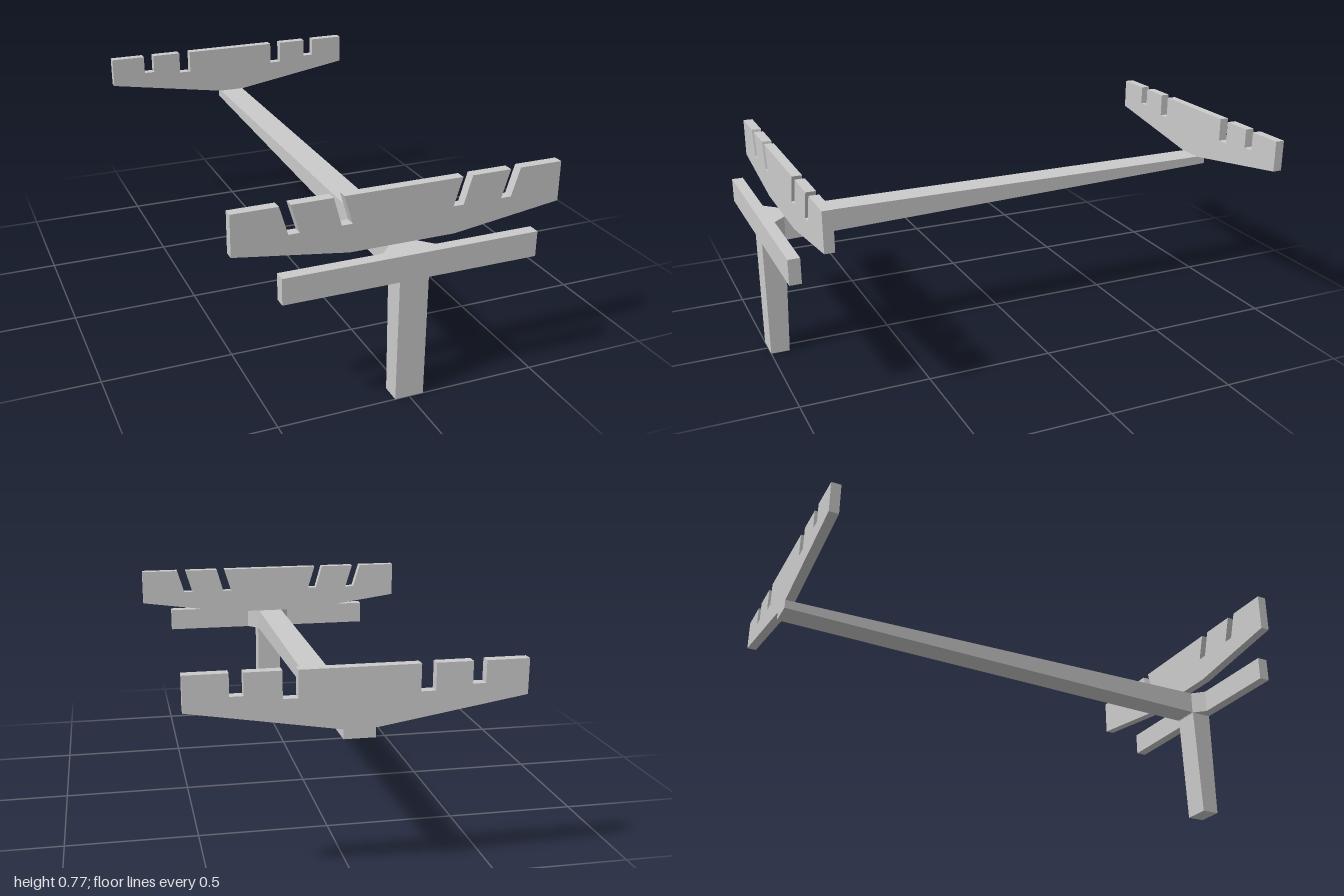
import * as THREE from 'three';

const material = new THREE.MeshStandardMaterial({ color: 0xcccccc, flatShading: true });

// Extrude an outline of [x, y] points along +z
function extrude(name, points, depth) {
  const shape = new THREE.Shape(points.map(([x, y]) => new THREE.Vector2(x, y)));
  const mesh = new THREE.Mesh(new THREE.ExtrudeGeometry(shape, { depth, bevelEnabled: false }), material);
  mesh.name = name;
  return mesh;
}

// Complete a right-hand half outline (bottom to top) with its mirror image
function mirrored(half) {
  return [...half, ...half.map(([x, y]) => [-x, y]).reverse()];
}

// Outline in (z, y), extruded across x and centred
function sideProfile(name, points, width) {
  const mesh = extrude(name, points, width);
  mesh.geometry.rotateY(-Math.PI / 2).translate(width / 2, 0, 0);
  return mesh;
}

const BOTTOM = 0.565, TOP = 0.775, WIDTH = 0.11;

// Notched plate; each slot is [outer top x, inner top x, outer floor x, inner floor x, floor y]
function notchedPlate(name, halfWidth, flat, edgeY, slots, z, depth) {
  const half = [[flat, BOTTOM], [halfWidth, edgeY], [halfWidth, TOP]];
  for (const [outTop, inTop, outLow, inLow, y] of slots) {
    half.push([outTop, TOP], [outLow, y], [inLow, y], [inTop, TOP]);
  }
  const mesh = extrude(name, mirrored(half), depth);
  mesh.position.z = z;
  return mesh;
}

export function createModel() {
  const group = new THREE.Group();
  group.name = 'notchedRack';

  // Plates: slanted slots in front, upright slots at the back
  group.add(notchedPlate('frontNotchedPlate', 0.62, 0.2, 0.623, [
    [0.453, 0.413, 0.421, 0.381, 0.67],
    [0.261, 0.223, 0.231, 0.191, 0.67],
  ], 0.868, 0.038));
  group.add(notchedPlate('rearNotchedPlate', 0.58, 0.06, 0.65, [
    [0.43, 0.384, 0.43, 0.384, 0.697],
    [0.257, 0.206, 0.257, 0.206, 0.68],
  ], -1, 0.038));

  // Tapered long beam
  group.add(sideProfile('beam', [[-1, 0.53], [0.91, 0.47], [0.91, BOTTOM], [-1, BOTTOM]], WIDTH));

  // Leg, slightly thicker at the top
  group.add(sideProfile('leg', [[0.926, 0], [1, 0], [1, 0.468], [0.91, 0.468]], WIDTH));

  // Crossbar with a flared joint towards the beam, outlined from above
  const crossbar = extrude('crossbar',
    mirrored([[0.48, -1], [0.48, -0.955], [0.1, -0.955], [WIDTH / 2, -0.908]]), BOTTOM - 0.468);
  crossbar.geometry.rotateX(-Math.PI / 2).translate(0, 0.468, 0);
  group.add(crossbar);

  return group;
}
